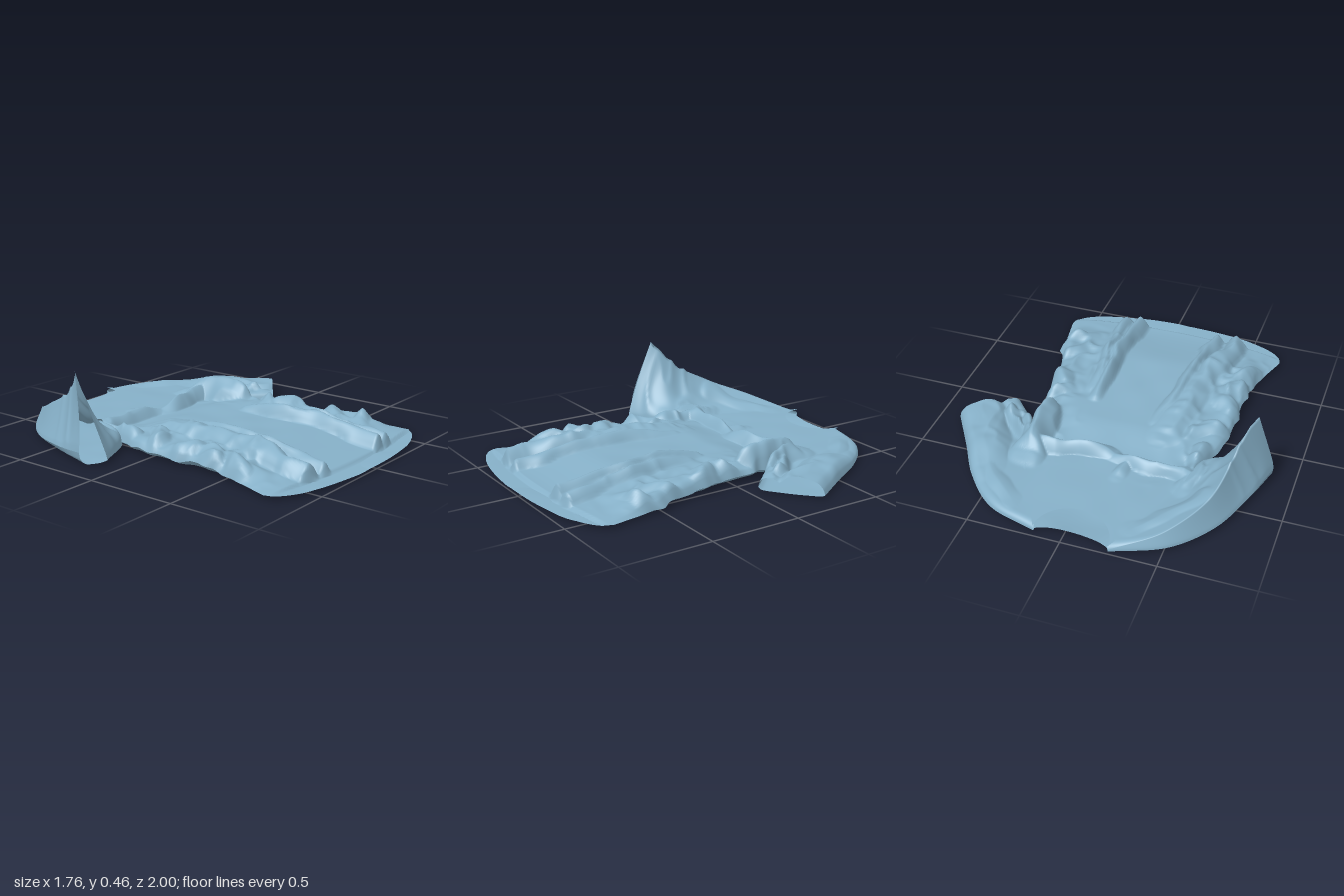
import * as THREE from 'three';

const { smoothstep, lerp, clamp } = THREE.MathUtils;
const cloth = new THREE.MeshStandardMaterial({ color: 0x86b0c8, side: THREE.DoubleSide });

// Smooth outline through [x, z] points
const edge = (...pts) =>
  new THREE.CatmullRomCurve3(pts.map(([x, z]) => new THREE.Vector3(x, 0, z)), false, 'centripetal');

// Seeded value noise in the range -1..1
function hash(i, j) {
  const s = Math.sin(i * 127.1 + j * 311.7) * 43758.5453;
  return (s - Math.floor(s)) * 2 - 1;
}
function noise(x, z) {
  const i = Math.floor(x), j = Math.floor(z);
  const a = smoothstep(x - i, 0, 1), b = smoothstep(z - j, 0, 1);
  return lerp(lerp(hash(i, j), hash(i + 1, j), a), lerp(hash(i, j + 1), hash(i + 1, j + 1), a), b);
}

// Raised folds, each a ridge with a half width and a height, rising from its first end
const folds = [];
const fold = (x0, z0, x1, z1, w, h) => folds.push({ x0, z0, x1, z1, w, h });
// gather across the chest
fold(-0.04, -0.36, -0.48, -0.4, 0.055, 0.055);
fold(-0.06, -0.355, 0.4, -0.39, 0.055, 0.07);
fold(-0.12, -0.52, -0.14, -0.4, 0.04, 0.025);
// bunched armpits
fold(0.38, -0.48, 0.4, -0.18, 0.1, 0.125);
fold(0.42, -0.4, 0.6, -0.18, 0.045, 0.045);
fold(-0.47, -0.5, -0.5, -0.2, 0.06, 0.05);
// long folds running down to the hem
fold(-0.28, -0.15, -0.31, 0.4, 0.1, 0.05);
fold(-0.31, 0.3, -0.42, 0.88, 0.07, 0.08);
fold(-0.2, -0.05, -0.28, 0.88, 0.05, 0.055);
fold(0.2, 0.05, 0.21, 0.89, 0.05, 0.075);
fold(0.24, 0.15, 0.29, 0.88, 0.045, 0.06);
// left sleeve ridge
fold(0.55, -0.65, 0.76, -0.22, 0.13, 0.05);
for (const side of [-1, 1]) {
  // shoulder fold, then creases down the side seam
  fold(side * 0.32, -0.85, side * 0.6, -0.59, 0.06, 0.02);
  for (let k = 0; k < 4; k++) {
    const x = side * (0.49 + 0.03 * k) - 0.03, z = 0.02 + 0.19 * k;
    fold(x - side * 0.12, z + 0.16 * hash(k, side), x, z, 0.06, 0.04);
  }
}
function foldHeight(x, z) {
  let top = 0;
  for (const { x0, z0, x1, z1, w, h } of folds) {
    const dx = x1 - x0, dz = z1 - z0;
    const t = clamp(((x - x0) * dx + (z - z0) * dz) / (dx * dx + dz * dz), 0, 1);
    const d = Math.hypot(x - x0 - t * dx, z - z0 - t * dz) / w;
    if (d < 1) top = Math.max(top, h * smoothstep(t, -0.2, 0.35) * (1 - d) * (1 + 0.6 * d));
  }
  return top;
}

// Height of the upper cloth layer, flattening towards the hem
function drape(x, z) {
  const wx = x + 0.024 * noise(x * 9, z * 8), wz = z + 0.024 * noise(x * 8 + 7, z * 9);
  const flat = 1 - 0.75 * smoothstep(z, 0.45, 0.88);
  const belly = smoothstep(z, -0.35, -0.1) * (1 - smoothstep(Math.abs(x), 0.5, 0.75));
  const crumple = smoothstep(z, -0.6, -0.3) * (1 - smoothstep(z, 0.6, 0.85)) * smoothstep(Math.abs(x), 0.15, 0.45);
  return 0.035 * flat * (1 + belly) + foldHeight(wx, wz) * (1 + 0.15 * noise(x * 10, z * 10))
    + 0.004 * flat * noise(x * 7, z * 6) + crumple * (0.012 - 0.03 * Math.abs(noise(wx * 11 + 3, wz * 13)));
}
const under = (x, z) => 0.01 + 0.006 * noise(x * 7 + 4, z * 7)
  + 0.022 * (1 - smoothstep(z, -1, -0.75)) + 0.01 * smoothstep(z, 0.7, 0.95);
// The side seams lift off the ground at the waist
const seam = (x, z) => 0.022 + smoothstep(z, -0.35, -0.1) * (1 - smoothstep(z, 0.3, 0.6))
  * (0.02 + 0.015 * noise(z * 14, Math.sign(x) * 3));

// Rounded closing of the two layers at distance d from a side edge
const closing = (d, w) => Math.sqrt(1 - (1 - clamp(d / w, 0, 1)) ** 2);

// Cloth sheet between two edges; place(u, t, x, z, width) gives the vertex
function sheet(name, [low, high], nu, nt, place, faceDown = false, spread = (u) => u) {
  const pos = [], index = [];
  for (let j = 0; j <= nt; j++) {
    const a = low.getPoint(j / nt), b = high.getPoint(j / nt);
    for (let i = 0; i <= nu; i++) {
      const u = spread(i / nu, j / nt);
      pos.push(...place(u, j / nt, lerp(a.x, b.x, u), lerp(a.z, b.z, u), a.distanceTo(b)));
      if (i < nu && j < nt) {
        const p = j * (nu + 1) + i, q = p + nu + 1;
        if (faceDown) index.push(p, p + 1, q, p + 1, q + 1, q);
        else index.push(p, q, p + 1, p + 1, q, q + 1);
      }
    }
  }
  const geo = new THREE.BufferGeometry();
  geo.setAttribute('position', new THREE.Float32BufferAttribute(pos, 3));
  geo.setIndex(index);
  geo.computeVertexNormals();
  const mesh = new THREE.Mesh(geo, cloth);
  mesh.name = name;
  return mesh;
}

// Body: raglan seam, then side seam, with scooped neck and bowed hem
const body = [
  edge([-0.25, -1], [-0.47, -0.5], [-0.52, -0.28], [-0.58, 0], [-0.6, 0.5], [-0.69, 0.8]),
  edge([0.15, -0.98], [0.4, -0.5], [0.45, -0.28], [0.47, 0], [0.57, 0.5], [0.62, 0.8]),
];
function bodyPoint(u, t, x, z, neckDip) {
  const s = Math.abs(2 * u - 1);
  const neck = neckDip * Math.sqrt(1 - s * s) * Math.max(0, 1 - t / 0.4) ** 1.3;
  const hem = 0.2 * Math.sqrt(1 - s ** 2.2) * smoothstep(t, 0.5, 1);
  const ruffle = 0.02 * noise(z * 16, u > 0.5 ? 5 : 9) * s ** 6
    * smoothstep(z, -0.3, -0.1) * (1 - smoothstep(z, 0.5, 0.65));
  return [x + ruffle, z + neck + hem];
}
function bodyFront(u, t, x0, z0, width) {
  const [x, z] = bodyPoint(u, t, x0, z0, 0.19);
  const round = closing(Math.min(u, 1 - u) * width, lerp(0.06, 0.15, smoothstep(z, 0.5, 0.85)));
  const e = lerp(1, round, smoothstep(z, -0.42, -0.25));
  // the front hem stops short of the back hem
  const hemZ = 0.9 - 0.15 * x * x;
  const drop = 1 - smoothstep(z, hemZ - 0.008, hemZ + 0.008);
  return [x, lerp(seam(x, z), 0.022 + drop * drape(x, z), e), z];
}
function bodyBack(u, t, x0, z0, width) {
  const [x, z] = bodyPoint(u, t, x0, z0, 0.05);
  const e = lerp(1, closing(Math.min(u, 1 - u) * width, 0.12), smoothstep(z, -0.42, -0.25));
  return [x, lerp(seam(x, z), under(x, z), e), z];
}

// Sleeves, from neck to cuff
const leftSleeve = [
  edge([0.145, -0.975], [0.25, -0.75], [0.38, -0.5], [0.43, -0.27], [0.6, -0.06]),
  edge([0.15, -0.98], [0.42, -0.89], [0.61, -0.7], [0.74, -0.49], [0.88, -0.27]),
];
const rightSleeve = [
  edge([-0.25, -1], [-0.52, -0.88], [-0.7, -0.68], [-0.8, -0.45], [-0.88, -0.2]),
  edge([-0.245, -0.99], [-0.34, -0.75], [-0.45, -0.5], [-0.51, -0.25], [-0.77, -0.11]),
];
// out: 0 at the outer edge, 1 at the inner edge
function sleeveClosing(out, z, width) {
  const inner = lerp(1, closing((1 - out) * width, 0.05), smoothstep(z, -0.42, -0.25));
  return closing(out * width, 0.05) * inner;
}
const leftTop = (u, t, x, z, width) => [x, 0.022 + sleeveClosing(1 - u, z, width) * drape(x, z), z];
const leftUnder = (u, t, x, z, width) =>
  [x, lerp(0.022, under(x, z), sleeveClosing(1 - u, z, width)), z];

// The right sleeve stands up in a tall peak at its cuff, its outer edge lifted
const crestAt = (t) => 0.15 + 0.35 * t ** 4;
const crestSpread = (u, t) =>
  (u < 0.4 ? (u / 0.4) * crestAt(t) : lerp(crestAt(t), 1, (u - 0.4) / 0.6));
const rightSeam = (u, t) => 0.022 + 0.05 * (1 - u) * t ** 3;
function rightTop(u, t, x, z, width) {
  const crest = crestAt(t);
  const tent = clamp(u < crest ? u / crest : (1 - u) / (1 - crest), 0, 1) ** 1.45;
  const pull = tent * t ** 4;
  const bulk = Math.min(0.07, drape(x, z)) + 0.03 * smoothstep(t, 0.7, 0.95);
  const y = rightSeam(u, t) + sleeveClosing(u, z, width) * bulk + 0.35 * t ** 1.5 * tent;
  return [x + 0.025 * pull, y, z - 0.135 * pull];
}
const rightUnder = (u, t, x, z, width) =>
  [x, lerp(rightSeam(u, t), under(x, z), sleeveClosing(u, z, width)), z];

export function createModel() {
  const shirt = new THREE.Group();
  shirt.name = 'tShirt';
  shirt.add(
    sheet('frontPanel', body, 120, 190, bodyFront),
    sheet('backPanel', body, 60, 90, bodyBack, true),
    sheet('leftSleeveTop', leftSleeve, 50, 80, leftTop),
    sheet('leftSleeveUnder', leftSleeve, 30, 40, leftUnder, true),
    sheet('rightSleeveTop', rightSleeve, 50, 80, rightTop, false, crestSpread),
    sheet('rightSleeveUnder', rightSleeve, 30, 40, rightUnder, true),
  );
  return shirt;
}
